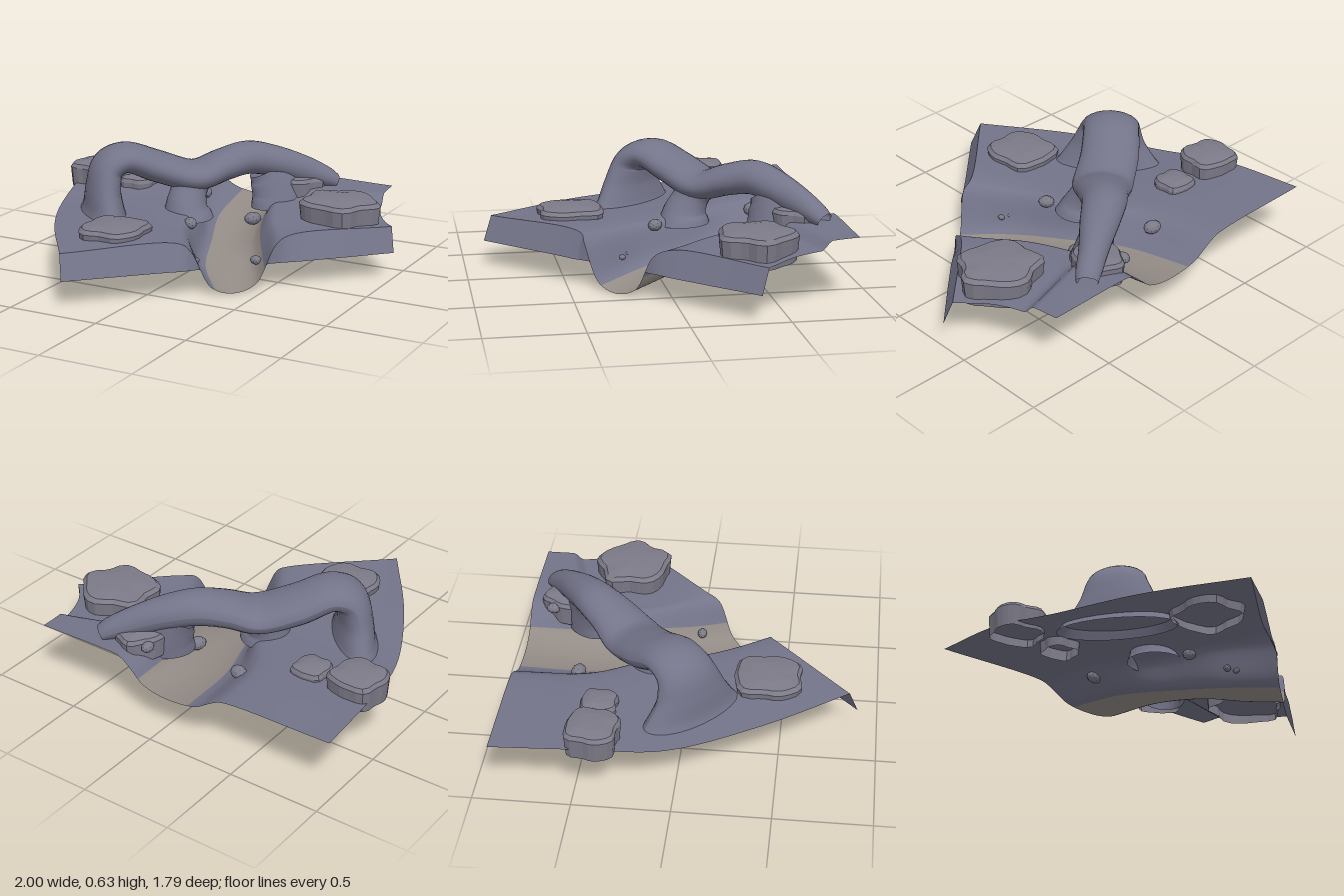
import * as THREE from 'three';

const V = (x, y, z) => new THREE.Vector3(x, y, z);
const mat = (color, flat = false) =>
  new THREE.MeshStandardMaterial({ color, flatShading: flat, side: THREE.DoubleSide });
const STONE = mat(0x74748a), FLOOR = mat(0x938b86), ROCK = mat(0x7c7a88, true);

// Vertex grid from point(row, col), with smooth normals
function grid(rows, cols, point) {
  const pos = [];
  for (let r = 0; r <= rows; r++)
    for (let c = 0; c <= cols; c++) pos.push(...point(r, c).toArray());
  const g = new THREE.BufferGeometry();
  g.setAttribute('position', new THREE.Float32BufferAttribute(pos, 3));
  g.setIndex(gridIndex(rows, cols, 0, cols));
  g.computeVertexNormals();
  return g;
}
function gridIndex(rows, cols, from, to) {
  const idx = [], n = cols + 1;
  for (let r = 0; r < rows; r++)
    for (let c = from; c < to; c++) {
      const a = r * n + c, b = a + n;
      idx.push(a, b, a + 1, b, b + 1, a + 1);
    }
  return idx;
}

// Rails running from the back edge to the diagonal front edge, left to right
const RAILS = [
  [[-1, .335, -.9], [-.95, .315, -.45], [-.85, .26, -.05], [-.62, .265, .4], [-.3, .27, .85]],
  [[-.38, .315, -.9], [-.33, .3, -.52], [-.17, .28, -.18], [-.06, .27, .14], [.15, .27, .42]],
  [[-.32, .29, -.9], [-.26, .27, -.5], [-.1, .26, -.2], [0, .25, .1], [.21, .23, .41]],
  [[-.2, .22, -.9], [-.14, .175, -.5], [-.02, .125, -.2], [.1, .07, .1], [.29, .04, .35]],
  [[0, .2, -.9], [.04, .15, -.5], [.12, .1, -.2], [.22, .05, .05], [.375, 0, .275]],
  [[.12, .23, -.9], [.16, .19, -.5], [.25, .14, -.2], [.35, .075, 0], [.465, .04, .185]],
  [[.18, .28, -.9], [.22, .28, -.55], [.33, .27, -.25], [.45, .25, -.05], [.53, .23, .1]],
  [[.24, .3, -.9], [.28, .29, -.57], [.39, .28, -.29], [.5, .27, -.1], [.57, .27, .01]],
  [[.76, .3, -.9], [.78, .29, -.72], [.84, .28, -.55], [.91, .27, -.45], [.97, .27, -.39]],
].map(pts => new THREE.CatmullRomCurve3(pts.map(p => V(...p))));

function buildGround(group) {
  const rows = 40, seg = 10, cols = seg * 8;
  const sections = Array.from({ length: rows + 1 }, (_, r) =>
    new THREE.CatmullRomCurve3(RAILS.map(c => c.getPoint(r / rows))));
  const at = (r, c) => {
    const p = sections[r].getPoint(c / cols);
    // raised shelf behind the ledge on the back left
    const ledge = -.56 - .3 * (p.x - .25);
    p.y += .045 * THREE.MathUtils.smoothstep(ledge - p.z, -.02, .04)
      * THREE.MathUtils.smoothstep(p.x, .16, .28);
    return p;
  };
  const base = grid(rows, cols, at);
  const strip = (name, from, to, material) => {
    const g = base.clone();
    g.setIndex(gridIndex(rows, cols, from, to));
    const m = new THREE.Mesh(g, material);
    m.name = name;
    group.add(m);
  };
  const f0 = seg * 3.2, f1 = seg * 5.4;
  strip('rightPlateau', 0, f0, STONE);
  strip('canyonFloor', f0, f1, FLOOR);
  strip('leftPlateau', f1, cols, STONE);

  // Sloping cut face below the diagonal edge, tapering into the canyon walls
  for (const [name, from, to] of [['rightSkirt', 0, 2.7 * seg], ['leftSkirt', 5.3 * seg, cols]]) {
    const g = grid(1, to - from, (r, c) => {
      const p = at(rows, from + c);
      const drop = r * Math.max(0, p.y - .14);
      const out = drop / .13 * THREE.MathUtils.clamp((.65 - p.x - p.z) / .08, 0, 1);
      return V(p.x + .035 * out, p.y - drop, p.z + .045 * out);
    });
    const m = new THREE.Mesh(g, STONE);
    m.name = name;
    group.add(m);
  }
}

// Elliptical sweep, open at both ends; stations are [x, y, z, half width, half thickness]
function sweep(name, stations, steps) {
  const path = new THREE.CatmullRomCurve3(stations.map(s => V(s[0], s[1], s[2])));
  const size = new THREE.CatmullRomCurve3(stations.map(s => V(s[3], s[4], 0)));
  const side = V(.66, 0, .75).normalize(), sides = 24;
  const g = grid(steps, sides, (r, c) => {
    const t = r / steps, p = path.getPoint(t), q = size.getPoint(t);
    const up = path.getTangent(t).cross(side).normalize();
    const a = -c / sides * Math.PI * 2;
    return p.addScaledVector(side, -Math.cos(a) * q.x).addScaledVector(up, -Math.sin(a) * q.y);
  });
  const m = new THREE.Mesh(g, STONE);
  m.name = name;
  return m;
}

// Lobed boulder: hollow below, upright sides, chamfered rim, slightly domed top
function boulder(name, x, z, rx, rz, y0, y1, lobes, phase) {
  const h = y1 - y0;
  const rings = [[.94, 0], [1, h - .035], [.9, h - .015], [.5, h - .004], [0, h]];
  const g = grid(rings.length - 1, 28, (r, c) => {
    const a = c / 28 * Math.PI * 2, [s, y] = rings[r];
    const k = s * (.91 + .08 * Math.cos(lobes * a + phase) + .03 * Math.sin(7 * a + phase * 2));
    return V(Math.cos(a) * rx * k, y, Math.sin(a) * rz * k);
  });
  const m = new THREE.Mesh(g, ROCK);
  m.name = name;
  m.position.set(x, y0, z);
  return m;
}

export function createModel() {
  const model = new THREE.Group();
  model.name = 'canyonArch';
  buildGround(model);

  // Natural rock bridge with two humps and its supporting legs
  const arch = new THREE.Group();
  arch.name = 'rockBridge';
  arch.add(
    sweep('bridgeSpan', [
      [-.53, .23, .05, .32, .13], [-.53, .29, .05, .27, .105], [-.53, .4, .05, .2, .09],
      [-.515, .51, .02, .16, .085], [-.45, .55, -.05, .15, .08], [-.32, .49, -.17, .155, .085],
      [-.15, .435, -.29, .16, .08], [-.04, .48, -.4, .135, .085], [.06, .51, -.51, .115, .09],
      [.18, .485, -.6, .1, .085], [.32, .43, -.7, .075, .075], [.42, .385, -.77, .065, .055],
      [.46, .36, -.8, .055, .04],
    ], 64),
    sweep('middleLeg', [
      [-.17, .43, -.27, .12, .13], [-.15, .37, -.22, .1, .1],
      [-.14, .29, -.18, .12, .115], [-.13, .23, -.17, .15, .14],
    ], 20),
    sweep('canyonLeg', [
      [.15, .45, -.575, .08, .11], [.18, .4, -.58, .09, .13],
      [.21, .31, -.58, .105, .14], [.22, .24, -.57, .115, .15],
    ], 20),
  );
  model.add(arch);

  // Large flat boulders
  model.add(
    boulder('sideBoulder', -.845, -.405, .16, .155, .27, .415, 4, 2.6),
    boulder('smallSideBoulder', -.575, -.41, .11, .11, .25, .36, 4, 3),
    boulder('frontBoulder', -.235, .425, .195, .205, .23, .335, 4, 3.3),
    boulder('largeBoulder', .67, -.395, .23, .22, .23, .395, 5, .4),
    boulder('backBoulder', .29, -.7, .145, .145, .27, .41, 4, 1),
  );

  // Loose stones along the canyon
  const stones = [
    [.18, .36, -.77, .035], [-.24, .26, -.57, .045], [.15, .2, -.4, .045], [-.02, .25, 0, .04],
    [.08, .13, .18, .022], [.125, .12, .2, .018], [.38, .11, .02, .03],
  ];
  stones.forEach(([x, y, z, r], i) => {
    const m = new THREE.Mesh(new THREE.IcosahedronGeometry(r, 1), ROCK);
    m.name = 'looseStone';
    m.position.set(x, y, z);
    m.rotation.y = i * 1.3;
    m.scale.set(.85, .8, 1.1);
    model.add(m);
  });
  return model;
}
